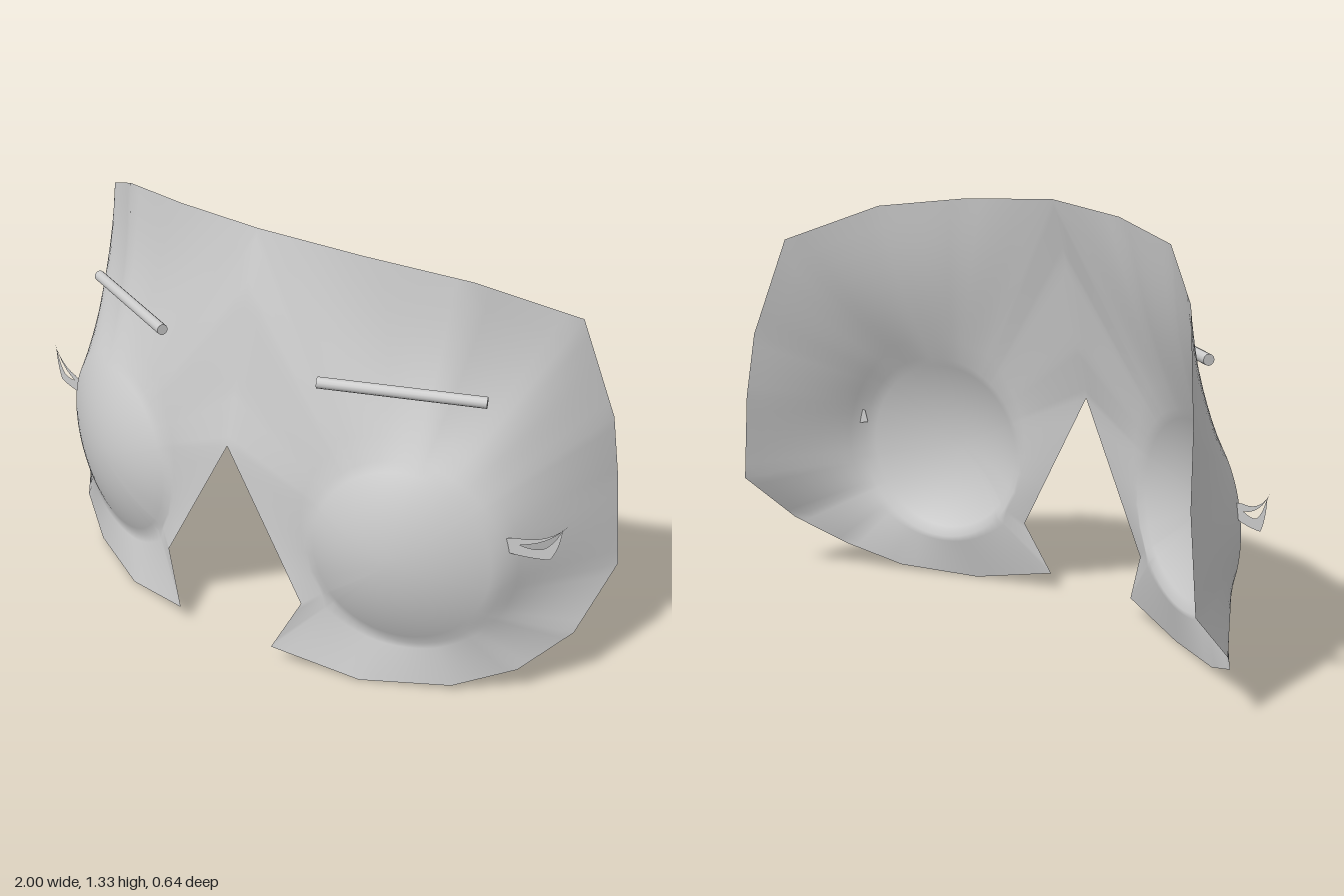
import * as THREE from 'three';
import { mergeVertices } from 'three/addons/utils/BufferGeometryUtils.js';

const V = (x, y, z) => new THREE.Vector3(x, y, z);
const EYE = { x: 0.547, y: 0.448, rx: 0.285, ry: 0.308, bulge: 0.085 };
// tilted plane in which the eye rim lies
const rimZ = (x) => 0.16 - 0.33 * (x - EYE.x);

// outline of the left half, clockwise from the top centre
const OUTLINE = [
  V(0, 1.33, 0.14), V(0.33, 1.31, 0.085), V(0.63, 1.27, -0.025), V(0.875, 1.155, -0.22),
  V(0.957, 0.84, -0.295), V(0.975, 0.63, -0.32), V(1, 0.345, -0.32), V(0.965, 0.18, -0.14),
  V(0.86, 0.08, 0), V(0.7, 0.015, 0.11), V(0.45, 0, 0.235), V(0.18, 0.055, 0.32),
  V(0.26, 0.22, 0.275), V(0, 0.685, 0.295), V(0, 0.86, 0.25), V(0, 1.15, 0.193),
];

// one smooth skin: each ray runs from the eye centre over the domed eye
// to its rim, then straight on to the outline; both halves are welded
function faceSheet() {
  const STEPS = 6, DOME = 10, SHEET = 8;
  const edge = [];
  OUTLINE.forEach((p, i) => {
    const q = OUTLINE[(i + 1) % OUTLINE.length];
    for (let k = 0; k < STEPS; k++) edge.push(p.clone().lerp(q, k / STEPS));
  });
  const pos = [], idx = [];
  const n = edge.length, w = DOME + SHEET + 1;
  for (const s of [1, -1]) {
    const base = pos.length / 3;
    for (const p of edge) {
      const dx = p.x - EYE.x, dy = p.y - EYE.y;
      const f = 1 / Math.hypot(dx / EYE.rx, dy / EYE.ry);
      for (let r = 0; r <= DOME; r++) {
        const t = r / DOME, x = EYE.x + dx * f * t;
        pos.push(s * x, EYE.y + dy * f * t, rimZ(x) + EYE.bulge * (1 - t * t));
      }
      const rimX = EYE.x + dx * f;
      const rim = V(rimX, EYE.y + dy * f, rimZ(rimX));
      // forehead dips slightly behind the brows
      const dip = 0.025 * THREE.MathUtils.smoothstep(p.y, 1, 1.25) * THREE.MathUtils.smoothstep(p.x, 0, 0.5);
      for (let r = 1; r <= SHEET; r++) {
        const t = r / SHEET, v = rim.clone().lerp(p, t);
        pos.push(s * v.x, v.y, v.z - dip * Math.sin(Math.PI * t));
      }
    }
    for (let i = 0; i < n; i++) {
      for (let r = 0; r < w - 1; r++) {
        const a = base + i * w + r, b = base + ((i + 1) % n) * w + r;
        const tri = (i0, i1, i2) => (s > 0 ? idx.push(i0, i1, i2) : idx.push(i0, i2, i1));
        if (r > 0) tri(a, b, a + 1);
        tri(b, b + 1, a + 1);
      }
    }
  }
  const g = new THREE.BufferGeometry();
  g.setAttribute('position', new THREE.Float32BufferAttribute(pos, 3));
  g.setIndex(idx);
  const welded = mergeVertices(g, 1e-4);
  welded.computeVertexNormals();
  return welded;
}

// thin two-pronged lash, its root reaching through the eye
function eyelash(s) {
  const sh = new THREE.Shape();
  sh.moveTo(s * 0.805, 0.51);
  sh.lineTo(s * 0.815, 0.55);
  sh.lineTo(s * 0.85, 0.558);
  sh.quadraticCurveTo(s * 0.94, 0.555, s * 0.99, 0.625);
  sh.quadraticCurveTo(s * 0.94, 0.55, s * 0.86, 0.537);
  sh.quadraticCurveTo(s * 0.9, 0.525, s * 0.925, 0.535);
  sh.quadraticCurveTo(s * 0.955, 0.555, s * 0.975, 0.61);
  sh.quadraticCurveTo(s * 0.97, 0.54, s * 0.945, 0.503);
  sh.quadraticCurveTo(s * 0.88, 0.495, s * 0.805, 0.51);
  const g = new THREE.ShapeGeometry(sh, 6);
  const p = g.attributes.position;
  for (let i = 0; i < p.count; i++) p.setZ(i, 0.05 - 0.35 * (Math.abs(p.getX(i)) - 0.83));
  g.computeVertexNormals();
  return g;
}

export function createModel() {
  const model = new THREE.Group();
  model.name = 'mask';
  const sheetMat = new THREE.MeshStandardMaterial({ color: 0xcccccc, side: THREE.DoubleSide });
  const solidMat = new THREE.MeshStandardMaterial({ color: 0xcccccc });
  const add = (name, geometry, material) => {
    const m = new THREE.Mesh(geometry, material);
    m.name = name;
    model.add(m);
    return m;
  };

  add('faceSheet', faceSheet(), sheetMat);

  for (const s of [1, -1]) {
    const side = s > 0 ? 'left' : 'right';
    add(side + 'Eyelash', eyelash(s), sheetMat);

    // straight rod brow
    const a = V(s * 0.287, 0.963, 0.24), b = V(s * 0.727, 0.95, 0.033);
    const dir = b.clone().sub(a);
    const brow = add(side + 'Brow', new THREE.CylinderGeometry(0.017, 0.017, dir.length(), 12), solidMat);
    brow.position.copy(a).add(b).multiplyScalar(0.5);
    brow.quaternion.setFromUnitVectors(V(0, 1, 0), dir.normalize());
  }
  return model;
}
